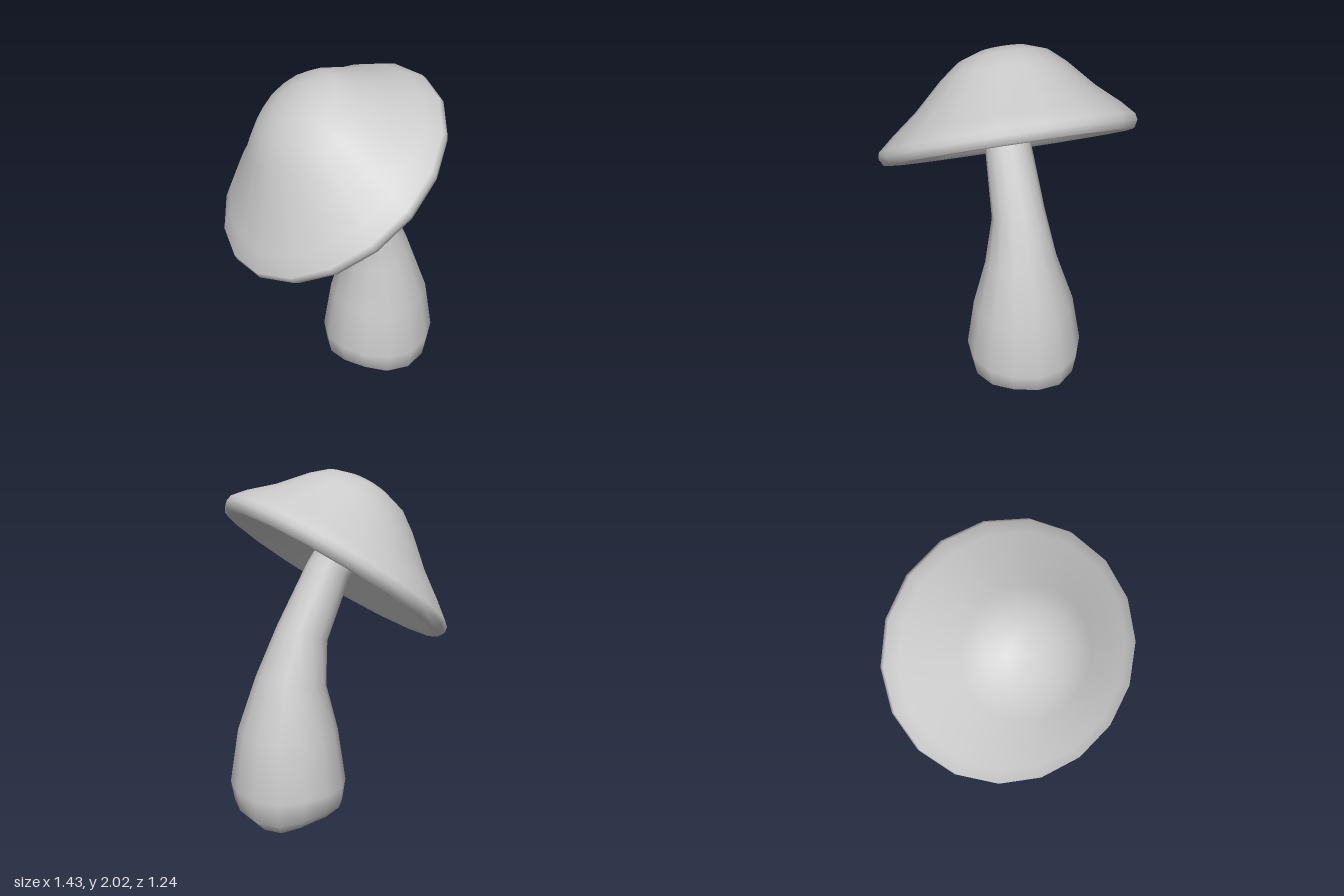
import * as THREE from 'three';

const material = new THREE.MeshStandardMaterial({ color: 0xcccccc });

// Smooth closed skin over rings listed from bottom to top; ends are fanned to a pole.
function loft(rings, sides, startPole, endPole) {
  const pos = [], index = [];
  for (const ring of rings) {
    for (let j = 0; j < sides; j++) {
      const p = ring((j / sides) * Math.PI * 2);
      pos.push(p.x, p.y, p.z);
    }
  }
  const first = rings.length * sides, last = first + 1;
  pos.push(...startPole, ...endPole);
  const top = (rings.length - 1) * sides;
  for (let j = 0; j < sides; j++) {
    const k = (j + 1) % sides;
    for (let i = 0; i < rings.length - 1; i++) {
      const a = i * sides + j, d = i * sides + k;
      index.push(a, a + sides, d + sides, a, d + sides, d);
    }
    index.push(first, j, k, last, top + k, top + j);
  }
  const geo = new THREE.BufferGeometry();
  geo.setAttribute('position', new THREE.Float32BufferAttribute(pos, 3));
  geo.setIndex(index);
  geo.computeVertexNormals();
  return geo;
}

// Stem: leaning, tapering, with a lumpy foot
function makeStem() {
  // x, y, z, radius, forward tilt, foot lumpiness
  const sections = [
    [0.065, 0.035, -0.28, 0.235, 0, 1],
    [0.065, 0.11, -0.28, 0.315, 0, 0.9],
    [0.065, 0.235, -0.28, 0.335, 0, 0.4],
    [0.068, 0.55, -0.275, 0.288, 0.03, 0],
    [0.07, 0.84, -0.245, 0.203, 0.2, 0],
    [0.05, 1.11, -0.175, 0.15, 0.42, 0],
    [0.02, 1.45, 0.0, 0.128, 0.5, 0],
    [-0.015, 1.58, 0.09, 0.135, 0.55, 0],
    [-0.03, 1.66, 0.14, 0.17, 0.6, 0],
  ];
  const rings = sections.map(([x, y, z, r, tilt, lump]) => (a) => {
    const dx = Math.cos(a) * r, dz = Math.sin(a) * r;
    const wave = lump * (0.022 * Math.cos(3 * (a + 2.05)) + 0.01 * Math.cos(a + 2.05));
    return new THREE.Vector3(x + dx, y - dz * Math.sin(tilt) - wave, z + dz * Math.cos(tilt));
  });
  const mesh = new THREE.Mesh(loft(rings, 14, [0.065, 0.055, -0.28], [-0.03, 1.68, 0.15]), material);
  mesh.name = 'stem';
  return mesh;
}

// Cap: hollow bell with a rounded lip, its crown pushed slightly back
function makeCap() {
  // radius, height from the hollow underside, round the lip, to the crown
  const profile = [
    [0.13, 0.2], [0.24, 0.15], [0.44, 0.06], [0.62, -0.02], [0.665, -0.045],
    [0.7, -0.04], [0.722, 0.0], [0.715, 0.035], [0.64, 0.105], [0.5, 0.22],
    [0.35, 0.37], [0.25, 0.45], [0.13, 0.492],
  ];
  const shift = (h) => -0.2 * Math.max(h, 0);
  const rings = profile.map(([r, h], i) => (a) =>
    new THREE.Vector3(Math.cos(a) * r, h, Math.sin(a) * r + (i > 7 ? shift(h) : 0)));
  const geo = loft(rings, 18, [0, 0.21, 0], [0, 0.505, shift(0.505)]);
  const mesh = new THREE.Mesh(geo, material);
  mesh.name = 'cap';
  const axis = new THREE.Vector3(-0.17, 1, 0.7).normalize();
  mesh.quaternion.setFromUnitVectors(new THREE.Vector3(0, 1, 0), axis);
  mesh.position.set(0, 1.46, 0.03);
  return mesh;
}

export function createModel() {
  const group = new THREE.Group();
  group.name = 'mushroom';
  group.add(makeStem(), makeCap());
  return group;
}
